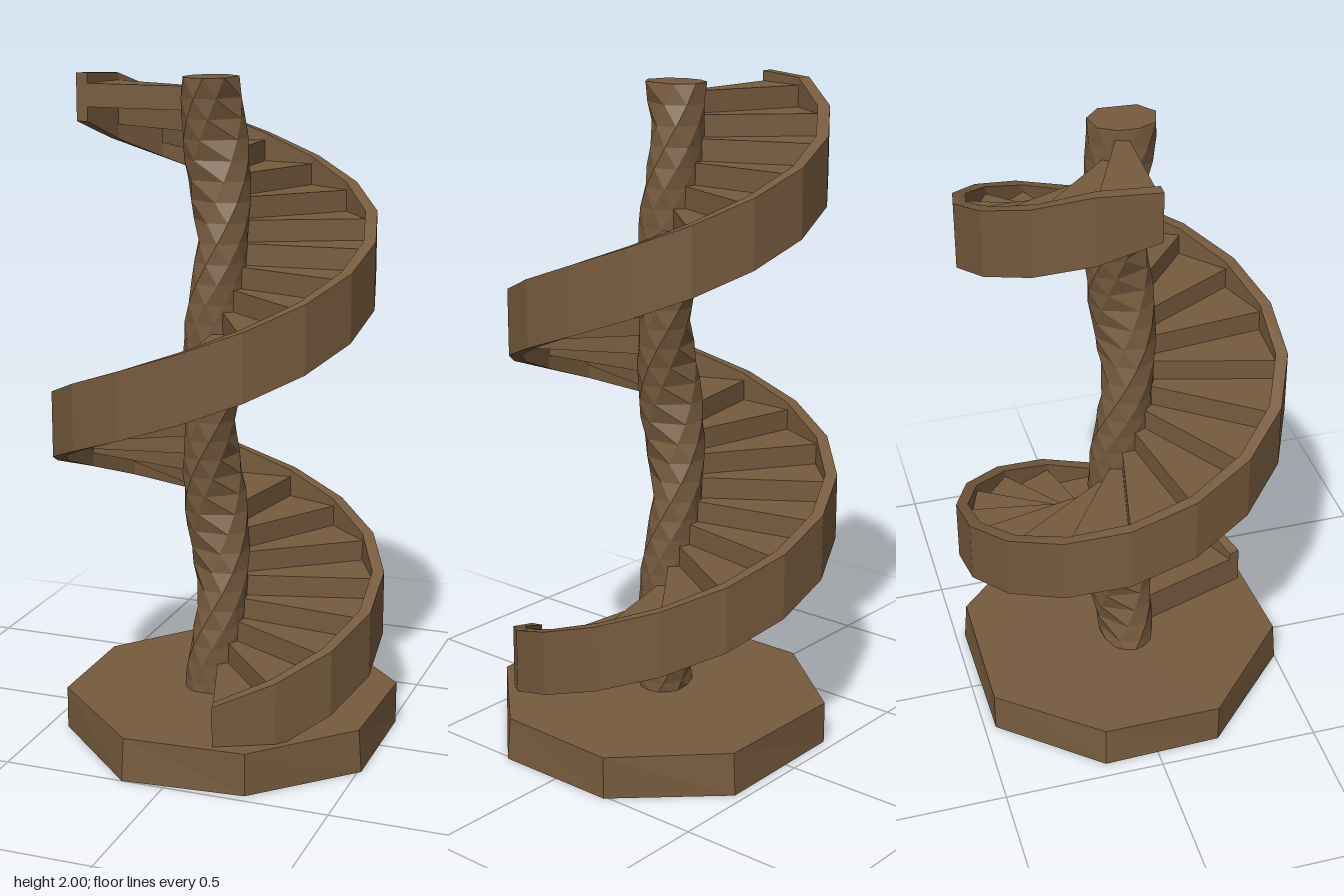
import * as THREE from 'three';

const PITCH = 1.065, START = 18, END = 628, COUNT = 28;
const STEP = (END - START) / COUNT;
const { clamp, degToRad, radToDeg } = THREE.MathUtils;

// Point at radius r, angle in degrees from the front towards +x, height y
function polar(r, deg, y, axis = -0.013) {
  const a = degToRad(deg);
  return [axis + r * Math.sin(a), y, r * Math.cos(a)];
}

// Height of the stringer's top edge at an angle, and its varying radius
const rimY = (deg) => 0.465 + ((deg - 90) / 360) * PITCH;
const rimR = (deg) => 0.508 - 0.028 * clamp((90 - deg) / 72, 0, 1)
  - 0.036 * clamp((deg - 270) / 180, 0, 1) - 0.015 * clamp((deg - 540) / 90, 0, 1);

// Solid skin over matching rings, counter-clockwise seen from the end
function loft(rings) {
  const n = rings[0].length;
  const index = [];
  for (let i = 0; i < rings.length - 1; i++) {
    for (let j = 0; j < n; j++) {
      const k = (j + 1) % n;
      const a = i * n + j, b = i * n + k, c = b + n, d = a + n;
      index.push(a, b, d, b, c, d);
    }
  }
  const last = (rings.length - 1) * n;
  for (let j = 1; j < n - 1; j++) {
    index.push(0, j + 1, j, last, last + j, last + j + 1);
  }
  const geometry = new THREE.BufferGeometry();
  geometry.setAttribute('position', new THREE.Float32BufferAttribute(rings.flat(2), 3));
  geometry.setIndex(index);
  const flat = geometry.toNonIndexed();
  flat.computeVertexNormals();
  return flat;
}

export function createModel() {
  const model = new THREE.Group();
  model.name = 'spiralStaircase';
  const wood = new THREE.MeshStandardMaterial({ color: 0x775b3e, flatShading: true });
  wood.name = 'brown wood';

  function add(name, rings, parent = model) {
    const mesh = new THREE.Mesh(loft(rings), wood);
    mesh.name = name;
    parent.add(mesh);
  }

  // Rough-cut eight-sided base, its top corners unevenly trimmed
  const corners = [
    [0.51, -0.19], [0.25, -0.47], [-0.2, -0.465], [-0.45, -0.17],
    [-0.44, 0.2], [-0.13, 0.5], [0.24, 0.47], [0.51, 0.2],
  ];
  add('base', [
    corners.map(([x, z]) => [x, 0, z]),
    corners.map(([x, z], i) => {
      const s = i % 2 ? 0.98 : 1;
      return [x * s, 0.13, z * s];
    }),
  ]);

  // Central column: lopsided section turning as it rises
  const section = [
    [0.092, -0.03], [0.092, 0.03], [0.065, 0.08], [0, 0.096],
    [-0.05, 0.055], [-0.05, -0.055], [0, -0.096], [0.065, -0.08],
  ];
  const columnRings = [];
  for (let i = 0; i <= 32; i++) {
    const y = 0.1 + (1.9 * i) / 32;
    const turn = 90 + ((y - 0.36) / 1.1) * 360;
    columnRings.push(section.map(([u, v]) =>
      polar(Math.hypot(u, v), turn + radToDeg(Math.atan2(v, u)), y, -0.02)));
  }
  add('column', columnRings);

  // Outer stringer: tall helical band, level at the very top
  const bandRings = [];
  for (let i = 0; i <= COUNT; i++) {
    const deg = START + i * STEP;
    const top = Math.min(rimY(deg), 2);
    const bottom = Math.max(rimY(deg) - 0.2, 0.05);
    const outer = rimR(deg), inner = outer - 0.036;
    bandRings.push([
      polar(outer, deg, top), polar(outer, deg, bottom),
      polar(inner, deg, bottom), polar(inner, deg, top),
    ]);
  }
  add('stringer', bandRings);

  // Wedge-shaped steps between column and stringer, the first standing on the base
  const steps = new THREE.Group();
  steps.name = 'steps';
  model.add(steps);
  for (let i = 0; i < COUNT; i++) {
    const a = START + i * STEP, b = a + STEP;
    const top = rimY((a + b) / 2) - 0.055;
    const bottom = i === 0 ? 0.12 : top - 0.07;
    const ring = (y) => [
      polar(0.04, a, y), polar(rimR(a) - 0.025, a, y),
      polar(rimR(b) - 0.025, b, y), polar(0.04, b, y),
    ];
    add('step', [ring(bottom), ring(top)], steps);
  }

  return model;
}
